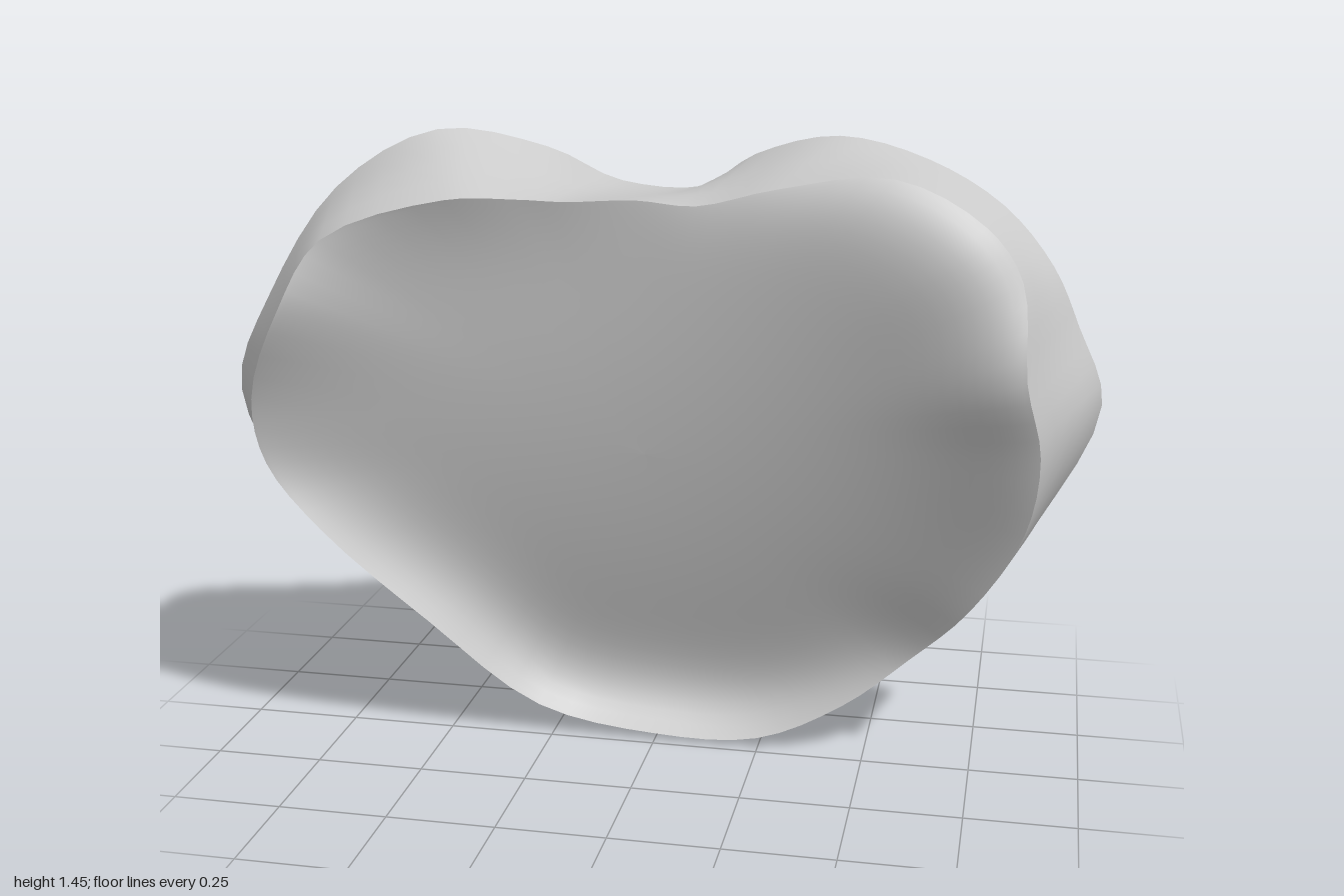
import * as THREE from 'three';

// Matching rim points, counter-clockwise from the bottom middle
const BACK_RIM = [
  [0, 0.005, -0.31], [0.25, 0.02, -0.325], [0.48, 0.14, -0.34], [0.62, 0.25, -0.32],
  [0.75, 0.35, -0.25], [0.88, 0.6, -0.08], [1, 0.89, -0.02], [0.94, 1.07, 0.01],
  [0.88, 1.2, 0.02], [0.77, 1.32, -0.02], [0.6, 1.41, -0.07], [0.4, 1.45, -0.12],
  [0.2, 1.395, -0.2], [0.06, 1.305, -0.285], [-0.13, 1.315, -0.275], [-0.27, 1.41, -0.12],
  [-0.5, 1.455, -0.02], [-0.74, 1.32, 0], [-0.88, 1.08, 0.09], [-1, 0.83, 0],
  [-0.9, 0.57, -0.04], [-0.77, 0.35, -0.19], [-0.5, 0.21, -0.32], [-0.25, 0.03, -0.315],
];
const FRONT_RIM = [
  [0, 0.02, -0.02], [0.25, 0.03, -0.02], [0.45, 0.13, -0.02], [0.6, 0.26, -0.01],
  [0.74, 0.43, 0.09], [0.85, 0.64, 0.17], [0.875, 0.83, 0.23], [0.84, 1, 0.28],
  [0.82, 1.2, 0.22], [0.74, 1.31, 0.21], [0.55, 1.4, 0.19], [0.3, 1.37, 0.18],
  [0.13, 1.33, 0.18], [0, 1.34, 0.19], [-0.15, 1.335, 0.21], [-0.25, 1.34, 0.23],
  [-0.4, 1.34, 0.27], [-0.67, 1.25, 0.3], [-0.76, 1.1, 0.335], [-0.86, 0.88, 0.27],
  [-0.85, 0.72, 0.23], [-0.74, 0.56, 0.2], [-0.52, 0.32, 0.11], [-0.28, 0.08, 0],
];
const SIDES = 96;
const RINGS = 20;
const CENTRE_Y = 0.75;

// Smooth closed loop through the rim points
function rimLoop(points) {
  const curve = new THREE.CatmullRomCurve3(points.map((p) => new THREE.Vector3(...p)), true);
  return Array.from({ length: SIDES }, (_, j) => {
    const p = curve.getPoint(j / SIDES);
    p.y = Math.max(p.y, 0);
    return p;
  });
}

// Rings from the centre out to a rim; the height field blends into the rim near its edge
function faceRings(rim, height, power) {
  return Array.from({ length: RINGS + 1 }, (_, i) => {
    const s = 1 - (1 - i / RINGS) ** 1.5;
    const w = s ** power;
    return rim.map((p) => {
      const x = p.x * s;
      const y = CENTRE_Y + (p.y - CENTRE_Y) * s;
      return new THREE.Vector3(x, y, THREE.MathUtils.lerp(height(x, y), p.z, w));
    });
  });
}

// Skin a list of rings
function loft(name, rings, material) {
  const index = [];
  for (let i = 0; i < rings.length - 1; i++) {
    for (let j = 0; j < SIDES; j++) {
      const k = (j + 1) % SIDES;
      const a = i * SIDES, b = a + SIDES;
      index.push(a + j, b + j, b + k, a + j, b + k, a + k);
    }
  }
  const geometry = new THREE.BufferGeometry().setFromPoints(rings.flat());
  geometry.setIndex(index);
  geometry.computeVertexNormals();
  const mesh = new THREE.Mesh(geometry, material);
  mesh.name = name;
  return mesh;
}

export function createModel() {
  const group = new THREE.Group();
  group.name = 'kidneyShapedDisc';
  const material = new THREE.MeshStandardMaterial({ color: 0xcccccc });
  const front = rimLoop(FRONT_RIM);
  const back = rimLoop(BACK_RIM);

  // Shallow front face: nearly flush at the top, dipping behind a lip at the bottom
  const dish = faceRings(front, (x, y) => -0.18 + 0.47 * y - 0.15 * y * y + 0.2 * x * x * y, 8);
  group.add(loft('frontDish', dish, material));

  // Outer wall between the two rims
  const wall = [0, 0.25, 0.5, 0.75, 1].map((t) => front.map((p, j) => p.clone().lerp(back[j], t)));
  group.add(loft('outerWall', wall, material));

  // Bulging back face, curling out to the lip under the top notch
  const bulge = faceRings(back, (x, y) => -0.38 + 0.21 * y + 0.11 * x * x, 5.5);
  group.add(loft('backFace', bulge.reverse(), material));

  return group;
}
